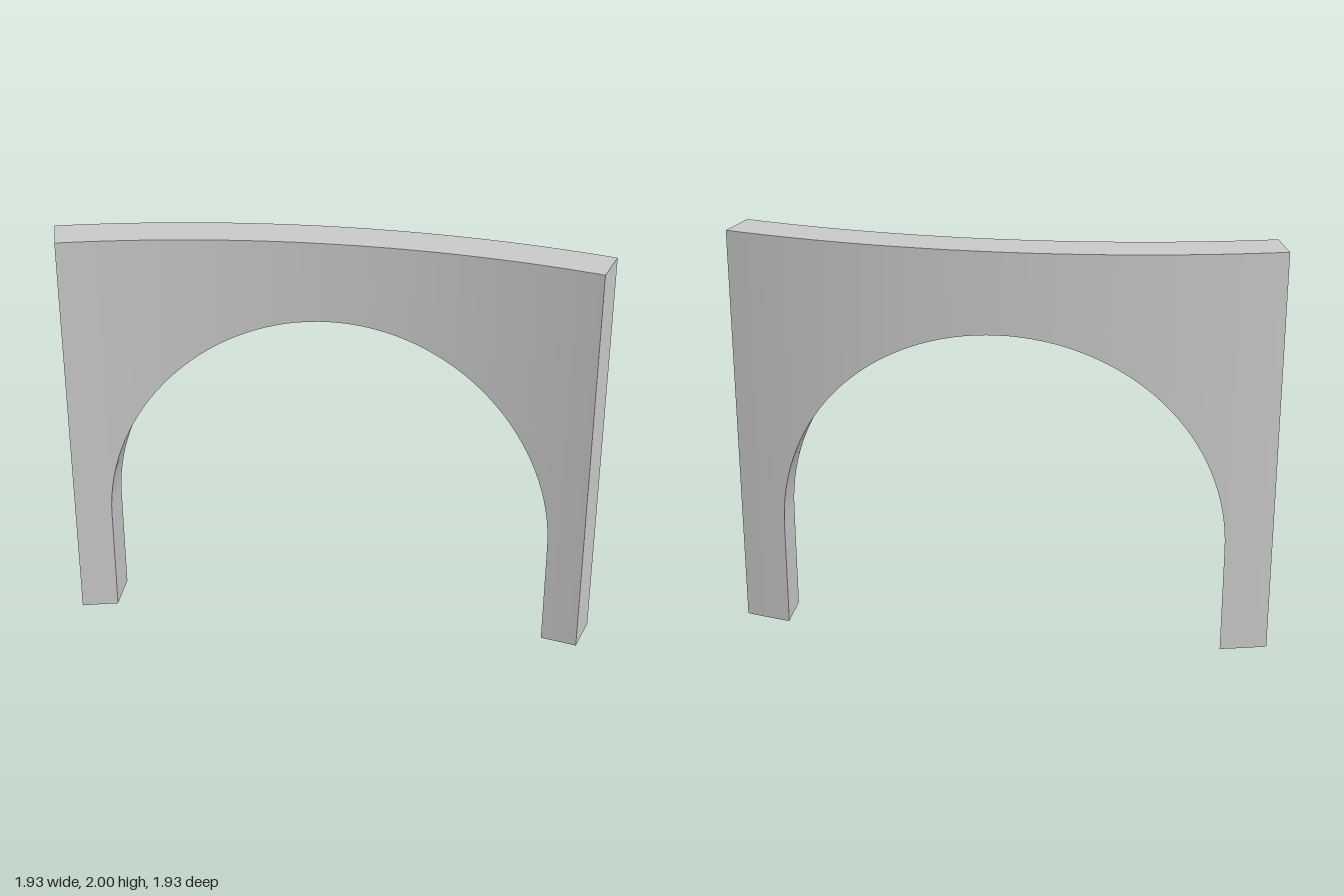
import * as THREE from 'three';
import { toCreasedNormals } from 'three/addons/utils/BufferGeometryUtils.js';

const INNER = 4.8, OUTER = 5, CENTRE = 3.365; // plan radii and offset of the arc's centre
const HALF_ANGLE = Math.PI / 12;              // wall spans 30 degrees in plan
const HEIGHT = 2, ARCH = 1.07, SPRING = 0.535; // semicircular opening on straight jambs

// Point on the wall: u runs along the chord, the radius selects the face
function wallPoint(u, y, radius) {
  const v = Math.sqrt(radius * radius - u * u);
  return [-CENTRE + (u + v) * Math.SQRT1_2, y, CENTRE + (u - v) * Math.SQRT1_2];
}

// Four corners of a section: inner bottom, inner top, outer top, outer bottom
function section(uIn, uOut, y) {
  return [
    wallPoint(uIn, y, INNER), wallPoint(uIn, HEIGHT, INNER),
    wallPoint(uOut, HEIGHT, OUTER), wallPoint(uOut, y, OUTER),
  ];
}

function archedWallGeometry() {
  const sections = [];
  const pierSteps = 6, archSteps = 64;
  const endIn = INNER * Math.sin(HALF_ANGLE), endOut = OUTER * Math.sin(HALF_ANGLE);
  const pier = (side, t) => section(
    side * THREE.MathUtils.lerp(endIn, ARCH, t),
    side * THREE.MathUtils.lerp(endOut, ARCH, t), 0);

  // Right pier, arch, left pier; the step from y = 0 to the spring forms each jamb
  for (let i = 0; i <= pierSteps; i++) sections.push(pier(-1, i / pierSteps));
  for (let i = 0; i <= archSteps; i++) {
    const a = Math.PI * i / archSteps;
    sections.push(section(-ARCH * Math.cos(a), -ARCH * Math.cos(a), SPRING + ARCH * Math.sin(a)));
  }
  for (let i = pierSteps; i >= 0; i--) sections.push(pier(1, i / pierSteps));

  const positions = [];
  const quad = (a, b, c, d) => positions.push(...a, ...b, ...c, ...a, ...c, ...d);
  for (let i = 0; i < sections.length - 1; i++) {
    const s = sections[i], n = sections[i + 1];
    const isJamb = i === pierSteps || i === pierSteps + archSteps + 1;
    for (let p = isJamb ? 3 : 0; p < 4; p++) {
      const q = (p + 1) % 4;
      quad(s[p], n[p], n[q], s[q]);
    }
  }
  // End faces
  quad(...sections[0]);
  quad(...sections[sections.length - 1].slice().reverse());

  const geometry = new THREE.BufferGeometry();
  geometry.setAttribute('position', new THREE.Float32BufferAttribute(positions, 3));
  return toCreasedNormals(geometry, Math.PI / 6);
}

export function createModel() {
  const group = new THREE.Group();
  group.name = 'curvedArchway';
  const wall = new THREE.Mesh(
    archedWallGeometry(),
    new THREE.MeshStandardMaterial({ color: 0xcccccc }));
  wall.name = 'archedWall';
  group.add(wall);
  return group;
}
